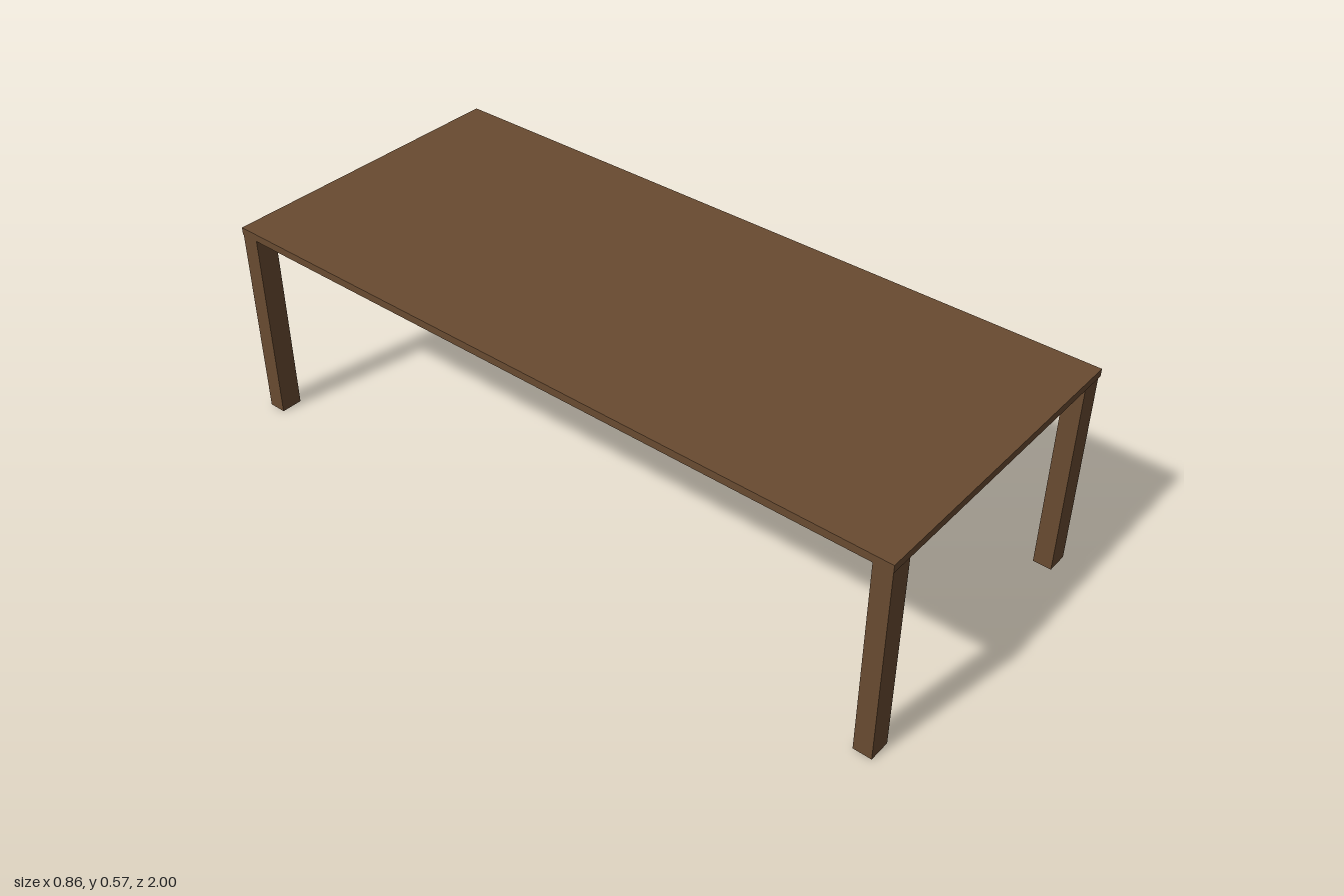
import * as THREE from 'three';

export function createModel() {
  const model = new THREE.Group();
  model.name = 'table';
  const wood = new THREE.MeshStandardMaterial({ color: 0x694b31 });
  wood.name = 'brown wood';

  const addBox = (name, w, h, d, x, y, z) => {
    const mesh = new THREE.Mesh(new THREE.BoxGeometry(w, h, d), wood);
    mesh.name = name;
    mesh.position.set(x, y, z);
    model.add(mesh);
  };

  // Thin rectangular top
  const legHeight = 0.552, topThickness = 0.021;
  addBox('tableTop', 0.862, topThickness, 2, 0, legHeight + topThickness / 2, 0);

  // Four corner legs; the front left one sits slightly inward
  const legs = [
    ['frontLeftLeg', 0.391, 1],
    ['frontRightLeg', -0.399, 1],
    ['backLeftLeg', 0.397, -1],
    ['backRightLeg', -0.399, -1],
  ];
  for (const [name, x, side] of legs) {
    addBox(name, 0.061, legHeight, 0.05, x, legHeight / 2, side * 0.974);
  }
  return model;
}
